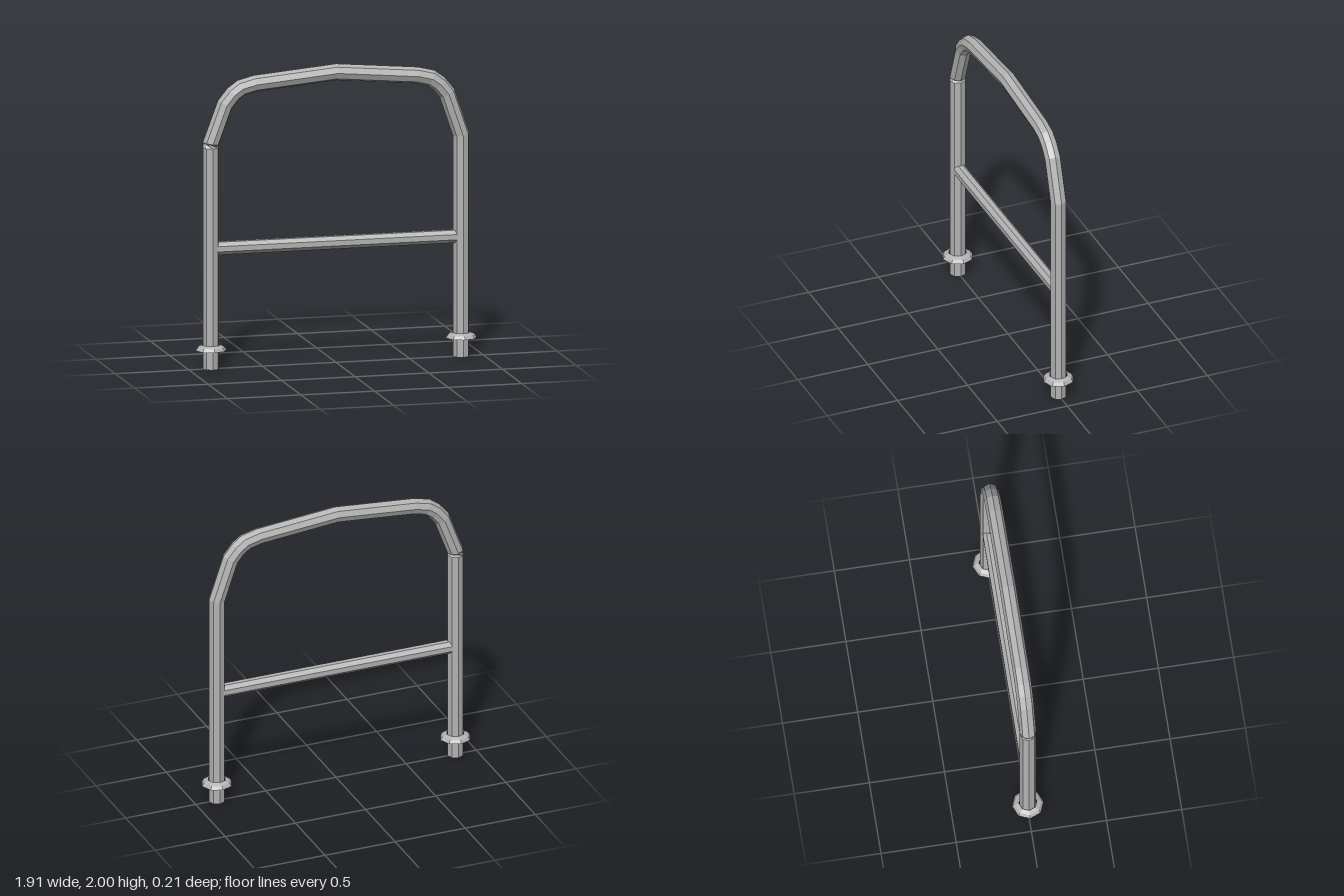
import * as THREE from 'three';

const SIDES = 8;
const PIPE_RADIUS = 0.055;

// Faceted normals
function faceted(geometry) {
  const g = geometry.index ? geometry.toNonIndexed() : geometry;
  g.computeVertexNormals();
  return g;
}

// Octagonal pipe with mitred bends along points in the XY plane.
// A point's third value turns its ring, in sides.
function pipeGeometry(path) {
  const pts = path.map(([x, y]) => new THREE.Vector2(x, y));
  const positions = [];
  const index = [];
  pts.forEach((p, i) => {
    const before = pts[Math.max(i - 1, 0)];
    const after = pts[Math.min(i + 1, pts.length - 1)];
    const a = p.clone().sub(i ? before : p).normalize();
    const b = after.clone().sub(p).normalize();
    const t = a.clone().add(b).normalize();
    const mitre = 1 / t.dot(a.lengthSq() ? a : b);
    for (let j = 0; j < SIDES; j++) {
      const angle = ((j + (path[i][2] || 0)) / SIDES) * Math.PI * 2;
      const out = Math.cos(angle) * PIPE_RADIUS * mitre;
      positions.push(p.x + t.y * out, p.y - t.x * out, Math.sin(angle) * PIPE_RADIUS);
    }
  });
  for (let i = 0; i < pts.length - 1; i++) {
    for (let j = 0; j < SIDES; j++) {
      const k = (j + 1) % SIDES;
      const r = i * SIDES, s = r + SIDES;
      index.push(r + j, s + j, r + k, r + k, s + j, s + k);
    }
  }
  // End caps
  const last = (pts.length - 1) * SIDES;
  for (let j = 1; j < SIDES - 1; j++) {
    index.push(0, j, j + 1, last, last + j + 1, last + j);
  }
  const g = new THREE.BufferGeometry();
  g.setAttribute('position', new THREE.Float32BufferAttribute(positions, 3));
  g.setIndex(index);
  return faceted(g);
}

export function createModel() {
  const group = new THREE.Group();
  const steel = new THREE.MeshStandardMaterial({
    color: 0xb4b4b4, flatShading: true, side: THREE.DoubleSide,
  });
  steel.name = 'galvanised steel';

  const add = (name, geometry) => {
    const mesh = new THREE.Mesh(geometry, steel);
    mesh.name = name;
    group.add(mesh);
    return mesh;
  };

  // Bent hoop: one post, the peaked arch and the other post,
  // with a short twisted joint where the arch meets the right post
  const bend = [[0.754, 1.767], [0.70, 1.833], [0.645, 1.873], [0.55, 1.897]];
  add('hoop', pipeGeometry([
    [0.85, 0], [0.85, 1.485],
    ...bend,
    [0, 1.946],
    ...bend.map(([x, y]) => [-x, y]).reverse(),
    [-0.85, 1.51], [-0.85, 1.482, 2], [-0.85, 0, 2],
  ]));

  // Crossbar between the posts, with a flat facet on top
  const bar = new THREE.CylinderGeometry(0.046, 0.046, 1.63, SIDES);
  bar.rotateY(Math.PI / SIDES);
  bar.rotateZ(Math.PI / 2);
  add('crossbar', faceted(bar)).position.y = 0.806;

  // Hollow bevelled flange around each post
  const profile = [
    [0.105, 0.125], [0.09, 0.147], [0.06, 0.16], [0.06, 0.15], [0.105, 0.125],
  ].map(([r, y]) => new THREE.Vector2(r, y));
  for (const side of [-1, 1]) {
    const flange = add(side > 0 ? 'leftFlange' : 'rightFlange',
      faceted(new THREE.LatheGeometry(profile, SIDES)));
    flange.position.x = side * 0.85;
  }

  return group;
}
